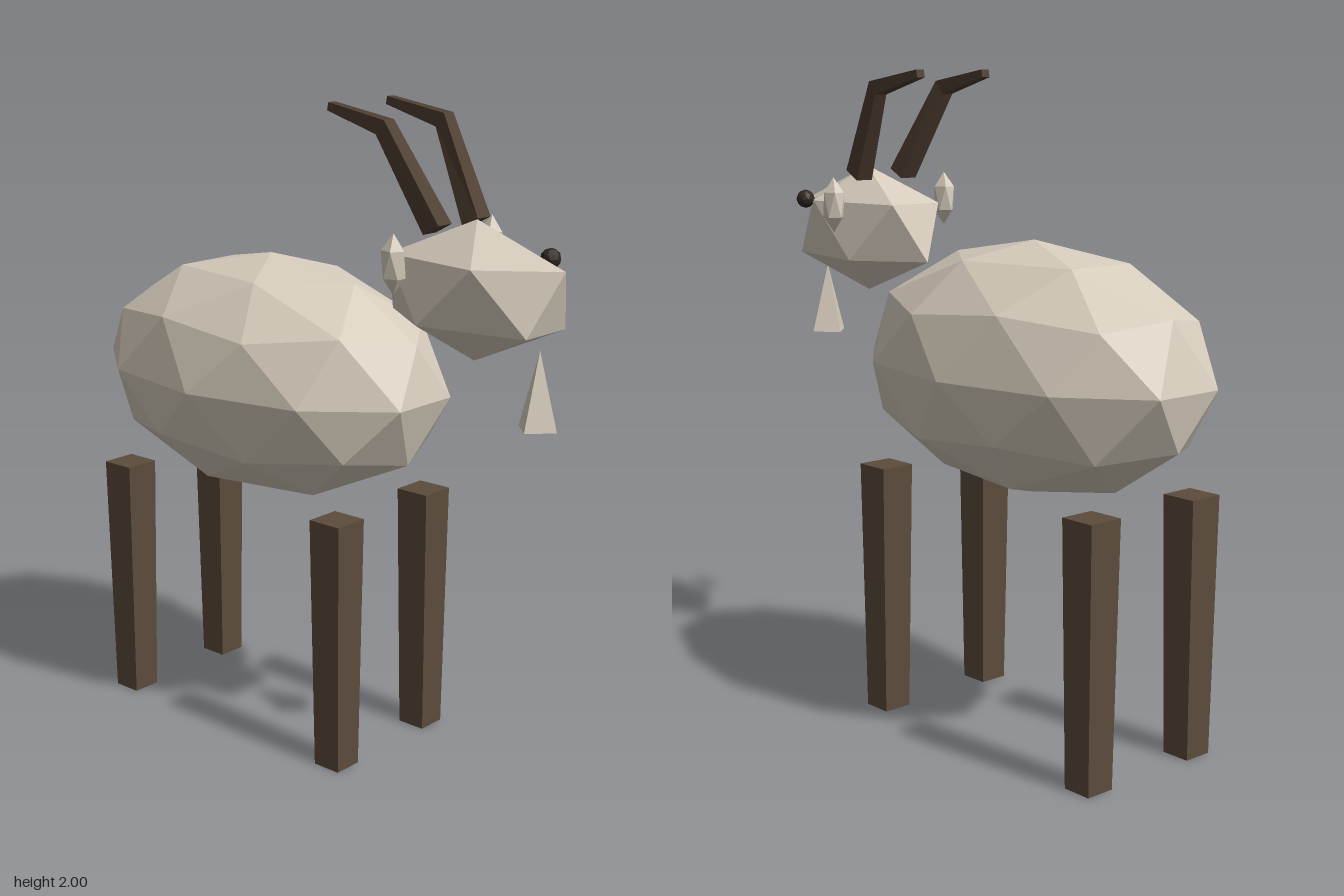
import * as THREE from 'three';

const paint = (name, color) => {
  const m = new THREE.MeshStandardMaterial({ color, flatShading: true });
  m.name = name;
  return m;
};

// Faceted ball with a vertex at the top and the upper ring pointing to +x
function facetBall(rx, ry, rz, detail) {
  const g = new THREE.IcosahedronGeometry(1, detail);
  g.rotateX(-Math.atan((1 + Math.sqrt(5)) / 2));
  g.rotateY(Math.PI / 2);
  g.scale(rx, ry, rz);
  g.computeVertexNormals();
  return g;
}

// Square-section horn joined from [x, y, z, normal angle, half thickness, half depth]
function hornGeometry(side) {
  const sections = [
    [0.482, 1.67, 0.09, 0.5, 0.031, 0.03],
    [0.326, 1.945, 0.134, 0.93, 0.025, 0.022],
    [0.124, 1.989, 0.13, 1.37, 0.012, 0.015],
  ];
  const pos = [];
  for (const [x, y, z, a, t, d] of sections) {
    for (const [u, v] of [[1, 1], [-1, 1], [-1, -1], [1, -1]]) {
      pos.push(x + u * t * Math.cos(a), y + u * t * Math.sin(a), side * z + v * d);
    }
  }
  const idx = [0, 1, 2, 0, 2, 3, 8, 10, 9, 8, 11, 10];
  for (let s = 0; s < 2; s++) {
    for (let k = 0; k < 4; k++) {
      const a = s * 4 + k, b = s * 4 + (k + 1) % 4;
      idx.push(a, b + 4, b, a, a + 4, b + 4);
    }
  }
  const g = new THREE.BufferGeometry();
  g.setAttribute('position', new THREE.Float32BufferAttribute(pos, 3));
  g.setIndex(idx);
  const flat = g.toNonIndexed();
  flat.computeVertexNormals();
  return flat;
}

export function createModel() {
  const group = new THREE.Group();
  group.name = 'goat';
  const wool = paint('wool', 0xd6ccbc);
  const legBrown = paint('legBrown', 0x5c4c3c);
  const hornBrown = paint('hornBrown', 0x4e3e30);
  const eyeDark = paint('eyeDark', 0x30261e);

  const add = (name, geometry, material, x = 0, y = 0, z = 0) => {
    const mesh = new THREE.Mesh(geometry, material);
    mesh.name = name;
    mesh.position.set(x, y, z);
    group.add(mesh);
    return mesh;
  };

  // Body and head
  add('body', facetBall(0.65, 0.38, 0.38, 1), wool, -0.238, 1.13, 0);
  add('head', facetBall(0.336, 0.202, 0.178, 0), wool, 0.552, 1.493, 0);

  // Beard: four-sided cone with corners on the axes
  add('beard', new THREE.ConeGeometry(0.065, 0.225, 4).toNonIndexed(), wool, 0.777, 1.243, 0);

  // The single eye sits on the far side of the head
  add('eye', facetBall(0.03, 0.03, 0.03, 1), eyeDark, 0.708, 1.585, -0.137);

  // Tapered square legs
  const leg = new THREE.CylinderGeometry(0.057 * Math.SQRT2, 0.047 * Math.SQRT2, 0.79, 4).toNonIndexed();
  leg.rotateY(Math.PI / 4);
  leg.computeVertexNormals();

  for (const side of [1, -1]) {
    const label = side > 0 ? 'Front' : 'Back';
    add('ear' + label, facetBall(0.042, 0.086, 0.034, 0), wool, 0.437, 1.585, side * 0.226);
    add('horn' + label, hornGeometry(side), hornBrown);
    add('foreLeg' + label, leg, legBrown, 0.213, 0.395, side * 0.205);
    add('hindLeg' + label, leg, legBrown, -0.69, 0.395, side * 0.205);
  }
  return group;
}
